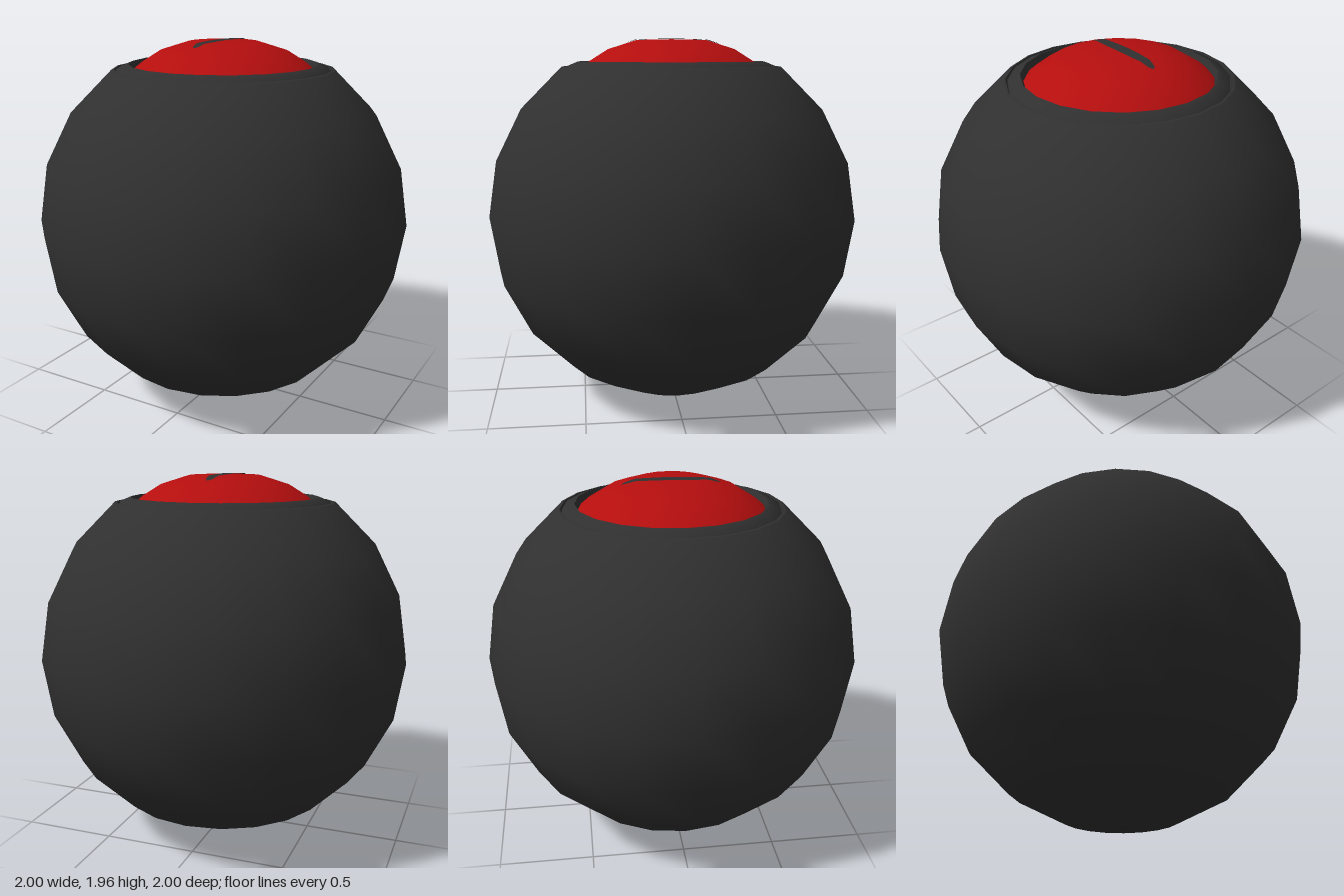
import * as THREE from 'three';

const SIDES = 20;

// Eye dome profile, from its edge to its top: [radius, height]
const DOME = [[0.485, 1.8], [0.44, 1.838], [0.34, 1.9], [0.19, 1.947], [0, 1.952]];

// Height of the dome surface at radius r
function domeHeight(r) {
  for (let i = 1; i < DOME.length; i++) {
    const [r0, y0] = DOME[i - 1], [r1, y1] = DOME[i];
    if (r >= r1) return y0 + (y1 - y0) * (r0 - r) / (r0 - r1);
  }
  return DOME[DOME.length - 1][1];
}

export function createModel() {
  const group = new THREE.Group();
  const charcoal = new THREE.MeshStandardMaterial({ color: 0x303030 });
  charcoal.name = 'charcoal';
  charcoal.side = THREE.DoubleSide;
  const red = new THREE.MeshStandardMaterial({ color: 0xb50e0e });
  red.name = 'red';

  const add = (name, geometry, material) => {
    const mesh = new THREE.Mesh(geometry, material);
    mesh.name = name;
    group.add(mesh);
    return mesh;
  };
  const lathe = (points) =>
    new THREE.LatheGeometry(points.map(([r, y]) => new THREE.Vector2(r, y)), SIDES);

  // Ball with an opening at the top
  add('ball', new THREE.SphereGeometry(1, SIDES, 8, 0, Math.PI * 2, Math.PI * 0.2, Math.PI * 0.8), charcoal)
    .position.y = 1;

  // Narrow groove and socket ring around the eye
  add('openingLip', lathe([[0.588, 1.809], [0.575, 1.811]]), charcoal);
  add('grooveWall', lathe([[0.575, 1.811], [0.565, 1.77]]), charcoal);
  add('socketRing', lathe([[0.565, 1.77], [0.563, 1.81], [0.5, 1.836]]), charcoal);
  add('socketInnerWall', lathe([[0.5, 1.836], [0.485, 1.8]]), charcoal);

  // Red eye dome
  add('eyeDome', lathe(DOME), red);

  // Slit pupil: a thin strip draped over the dome, slightly tilted
  const slit = new THREE.PlaneGeometry(2, 2, 4, 28).rotateX(-Math.PI / 2);
  const p = slit.attributes.position;
  for (let i = 0; i < p.count; i++) {
    const t = p.getZ(i);
    const halfWidth = 0.005 + 0.028 * Math.pow(Math.max(0, 1 - t * t), 0.4);
    const x = -0.016 - 0.012 * t + p.getX(i) * halfWidth;
    const z = -0.005 + 0.252 * t;
    p.setXYZ(i, x, domeHeight(Math.hypot(x, z)) + 0.004, z);
  }
  slit.computeVertexNormals();
  add('slitPupil', slit, charcoal);

  return group;
}
